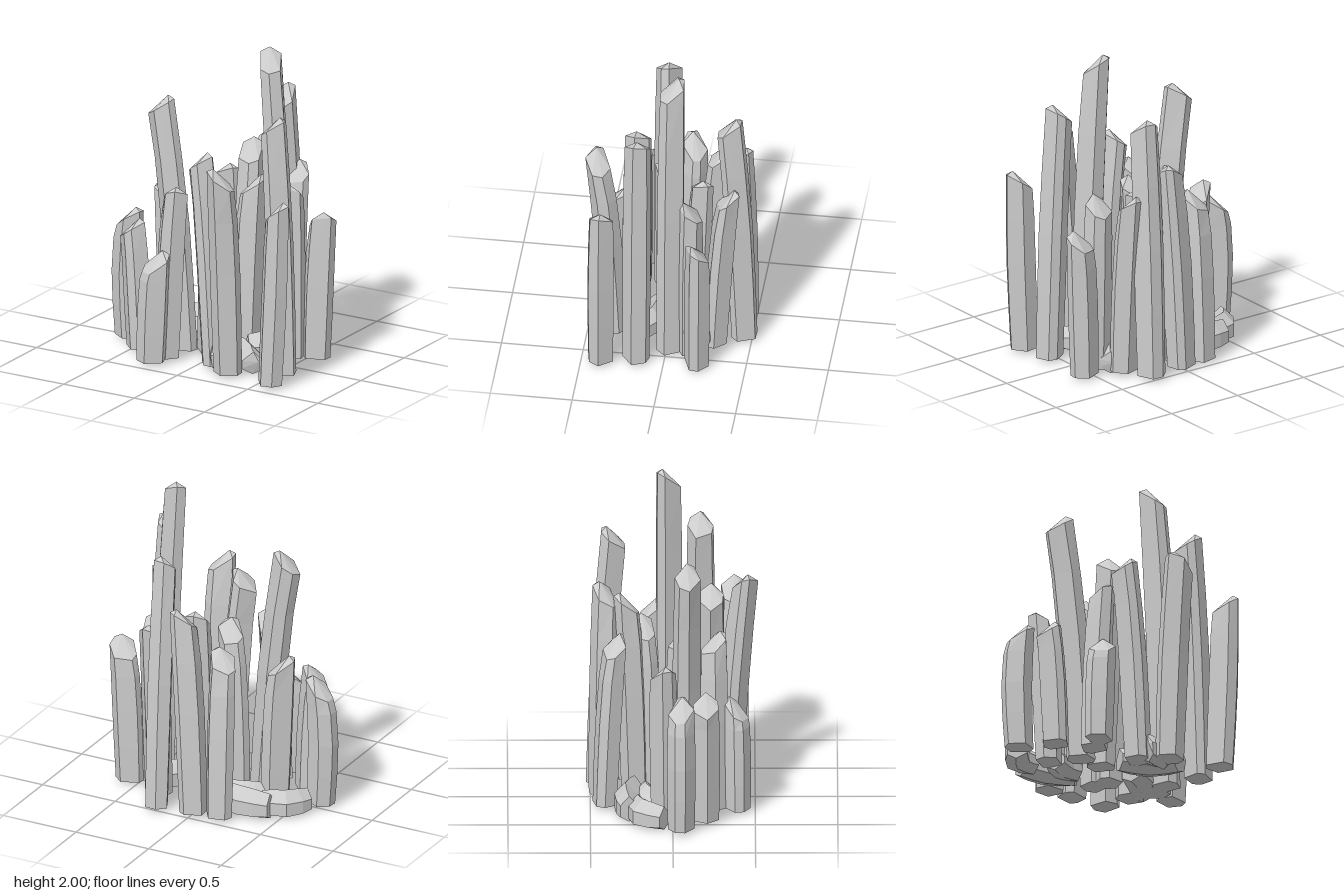
import * as THREE from 'three';

const UP = new THREE.Vector3(0, 1, 0);
const SIDES = 6;

// Sweeps an irregular hexagon along a path and closes it with an off-centre point.
function sweep(path, steps, frame, radiusU, radiusV, taper, spin, tip, lean) {
  const curve = new THREE.CatmullRomCurve3(path);
  const rings = [];
  for (let i = 0; i <= steps; i++) {
    const t = i / steps;
    const centre = curve.getPoint(t);
    const { u, v, axis } = frame(curve.getTangent(t));
    const ring = [];
    for (let j = 0; j < SIDES; j++) {
      const a = spin + (j + 0.25 * Math.sin(spin * 7 + j * 2.3)) * 2 * Math.PI / SIDES;
      const k = taper(t);
      const p = centre.clone()
        .addScaledVector(u, Math.cos(a) * radiusU * k)
        .addScaledVector(v, Math.sin(a) * radiusV * k);
      // slanted shoulder: corners far from the point sit lower
      if (i === steps) p.addScaledVector(axis, -tip * (0.15 + 0.45 * (1 - Math.cos(a - lean))));
      // flat underside on the ground
      p.y = Math.max(p.y, 0);
      ring.push(p);
    }
    rings.push(ring);
  }
  const end = frame(curve.getTangent(1));
  const apex = curve.getPoint(1)
    .addScaledVector(end.u, Math.cos(lean) * radiusU * 0.5)
    .addScaledVector(end.v, Math.sin(lean) * radiusV * 0.5);
  const start = curve.getPoint(0);
  const pos = [];
  const tri = (...pts) => pts.forEach(p => pos.push(p.x, p.y, p.z));
  for (let j = 0; j < SIDES; j++) {
    const n = (j + 1) % SIDES;
    for (let i = 0; i < steps; i++) {
      const a = rings[i], b = rings[i + 1];
      tri(a[j], a[n], b[n]);
      tri(a[j], b[n], b[j]);
    }
    tri(rings[steps][j], rings[steps][n], apex);
    tri(rings[0][n], rings[0][j], start);
  }
  const geo = new THREE.BufferGeometry();
  geo.setAttribute('position', new THREE.Float32BufferAttribute(pos, 3));
  geo.computeVertexNormals();
  return geo;
}

const uprightFrame = () => ({ u: new THREE.Vector3(0, 0, 1), v: new THREE.Vector3(1, 0, 0), axis: UP });
const lyingFrame = t => {
  const axis = t.clone().setY(0).normalize();
  return { u: new THREE.Vector3().crossVectors(UP, axis), v: UP, axis };
};

// Standing pillars: base x, base z, top x, top z, height, bow x, direction of the point
const PILLARS = [
  [-0.62, 0.05, -0.61, 0.05, 0.85, -0.02, 1.4],
  [-0.45, 0.2, -0.5, 0.2, 0.84, 0, 1.6],
  [-0.36, -0.05, -0.41, -0.06, 1.0, 0, -1.2],
  [-0.21, 0.08, -0.365, 0.09, 1.62, 0, 1.7],
  [-0.22, 0.26, -0.16, 0.25, 1.12, 0, 0.5],
  [-0.255, 0.39, -0.225, 0.38, 0.72, 0, 2.6],
  [-0.05, 0.04, 0, 0.05, 1.1, 0, 0.3],
  [0.1, 0.23, 0.005, 0.23, 1.36, 0, 1.5],
  [0.26, 0.34, 0.27, 0.44, 1.35, 0, -1.2],
  [0.585, 0.38, 0.63, 0.37, 1.19, 0.01, 1.5],
  [0.55, 0.17, 0.48, 0.17, 1.65, 0, 1.6],
  [0.56, -0.2, 0.6, -0.21, 0.96, 0, 0.6],
  [0.43, -0.02, 0.34, -0.025, 2.0, 0, 3.7],
  [0.42, -0.13, 0.41, -0.14, 1.13, 0, 0.2],
  [0.32, -0.28, 0.32, -0.36, 1.18, 0, 3.1],
  [0.24, -0.45, 0.23, -0.36, 1.66, 0, 3.0],
  [0, -0.43, 0.08, -0.41, 1.35, 0, 2.5],
  [-0.165, -0.41, -0.16, -0.35, 1.1, 0, 0.8],
  [0.05, -0.23, 0.05, -0.28, 1.3, 0, 3.3],
  [0.1, -0.14, 0.13, -0.18, 1.12, 0, 1.8],
];

// Fallen shards: half width, half height, then x, z pairs along the length
const SHARDS = [
  [0.08, 0.11, -0.58, -0.05, -0.5, -0.18, -0.34, -0.21],
  [0.08, 0.12, -0.44, -0.26, -0.26, -0.28, -0.05, -0.22],
  [0.08, 0.1, -0.3, -0.08, -0.2, -0.15, -0.06, -0.16],
  [0.08, 0.11, 0.05, 0.09, 0.24, 0.12, 0.4, 0.27],
  [0.09, 0.11, 0.19, -0.01, 0.32, -0.12, 0.42, -0.27],
  [0.07, 0.125, 0.28, 0.22, 0.2, 0.25, 0.11, 0.3],
];

export function createModel() {
  const group = new THREE.Group();
  const stone = new THREE.MeshStandardMaterial({ color: 0xcccccc });
  stone.name = 'paleStone';
  const add = (geo, name) => {
    const mesh = new THREE.Mesh(geo, stone);
    mesh.name = name;
    group.add(mesh);
  };

  PILLARS.forEach(([bx, bz, tx, tz, h, bow, lean], i) => {
    const path = [
      new THREE.Vector3(bx, 0.02, bz),
      new THREE.Vector3((bx + tx) / 2 + bow + (bx - tx) * 0.12, h * 0.5, (bz + tz) / 2 + (bz - tz) * 0.12),
      new THREE.Vector3(tx, h, tz),
    ];
    const taper = t => 0.97 + 0.08 * Math.sin(Math.PI * t) - 0.03 * t;
    add(sweep(path, 4, uprightFrame, 0.084, 0.092, taper, i * 1.7, 0.13, lean), 'pillar' + (i + 1));
  });

  SHARDS.forEach(([w, h, ...xz], i) => {
    const path = [0, 2, 4].map(k => new THREE.Vector3(xz[k], h * 0.55, xz[k + 1]));
    const taper = t => 0.8 + 0.2 * Math.sin(Math.PI * t);
    add(sweep(path, 4, lyingFrame, w, h, taper, Math.PI / 6, 0.05, 0.5), 'fallenShard' + (i + 1));
  });
  return group;
}
